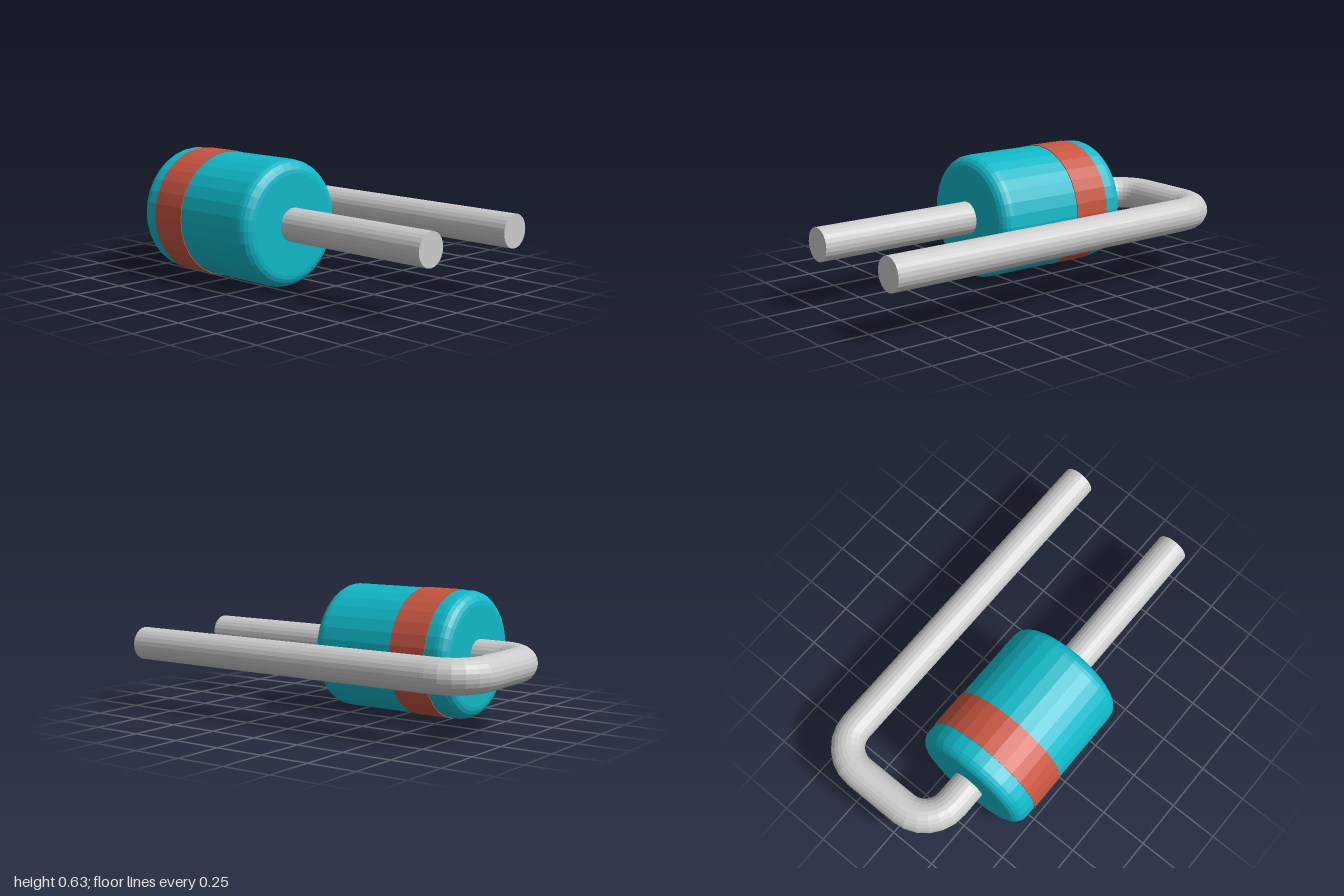
import * as THREE from 'three';

const AXIS_Y = 0.317;       // height of the body and wire axis
const BODY_X = -0.193;      // body and straight lead
const RETURN_X = 0.422;     // folded-back lead
const WIRE_R = 0.083;
const BEND_R = 0.165;
const BEND_Z = -0.752;      // where the bends begin
const SIDES = 24;

const material = (color) => new THREE.MeshStandardMaterial({ color, flatShading: true });

export function createModel() {
  const model = new THREE.Group();
  const grey = material(0xcccccc);
  const teal = material(0x10b8c8);
  const red = material(0xc85540);

  const add = (name, geometry, mat, x, z, parent = model) => {
    const mesh = new THREE.Mesh(geometry, mat);
    mesh.name = name;
    mesh.position.set(x, AXIS_Y, z);
    parent.add(mesh);
  };

  // Cylinder lying along z
  const rod = (radius, length, sides) =>
    new THREE.CylinderGeometry(radius, radius, length, sides).rotateX(Math.PI / 2);

  // Body: a cylinder with rounded rims
  const R = 0.313, fillet = 0.065, back = -0.627, front = 0.148, steps = 5;
  const profile = [new THREE.Vector2(0, back)];
  for (const [z, start] of [[back + fillet, -Math.PI / 2], [front - fillet, 0]]) {
    for (let i = 0; i <= steps; i++) {
      const a = start + (i / steps) * Math.PI / 2;
      profile.push(new THREE.Vector2(R - fillet + fillet * Math.cos(a), z + fillet * Math.sin(a)));
    }
  }
  profile.push(new THREE.Vector2(0, front));
  add('body', new THREE.LatheGeometry(profile, 32).rotateX(Math.PI / 2), teal, BODY_X, 0);

  // Polarity band, slightly proud of the body
  add('band', rod(0.317, 0.195, 32), red, BODY_X, -0.413);

  // Wire: two long leads, two quarter bends and a cross piece
  const wire = new THREE.Group();
  wire.name = 'wire';
  model.add(wire);
  const leadLength = 1 - BEND_Z;
  const leadZ = (1 + BEND_Z) / 2;
  add('straightLead', rod(WIRE_R, leadLength, SIDES), grey, BODY_X, leadZ, wire);
  add('returnLead', rod(WIRE_R, leadLength, SIDES), grey, RETURN_X, leadZ, wire);

  const bend = (turn) => new THREE.TorusGeometry(BEND_R, WIRE_R, SIDES, 6, Math.PI / 2)
    .rotateZ(turn).rotateX(-Math.PI / 2);
  add('returnBend', bend(0), grey, RETURN_X - BEND_R, BEND_Z, wire);
  add('straightBend', bend(Math.PI / 2), grey, BODY_X + BEND_R, BEND_Z, wire);

  const crossLength = RETURN_X - BODY_X - 2 * BEND_R;
  add('crossPiece', rod(WIRE_R, crossLength, SIDES).rotateY(Math.PI / 2), grey,
    (RETURN_X + BODY_X) / 2, BEND_Z - BEND_R, wire);

  return model;
}
